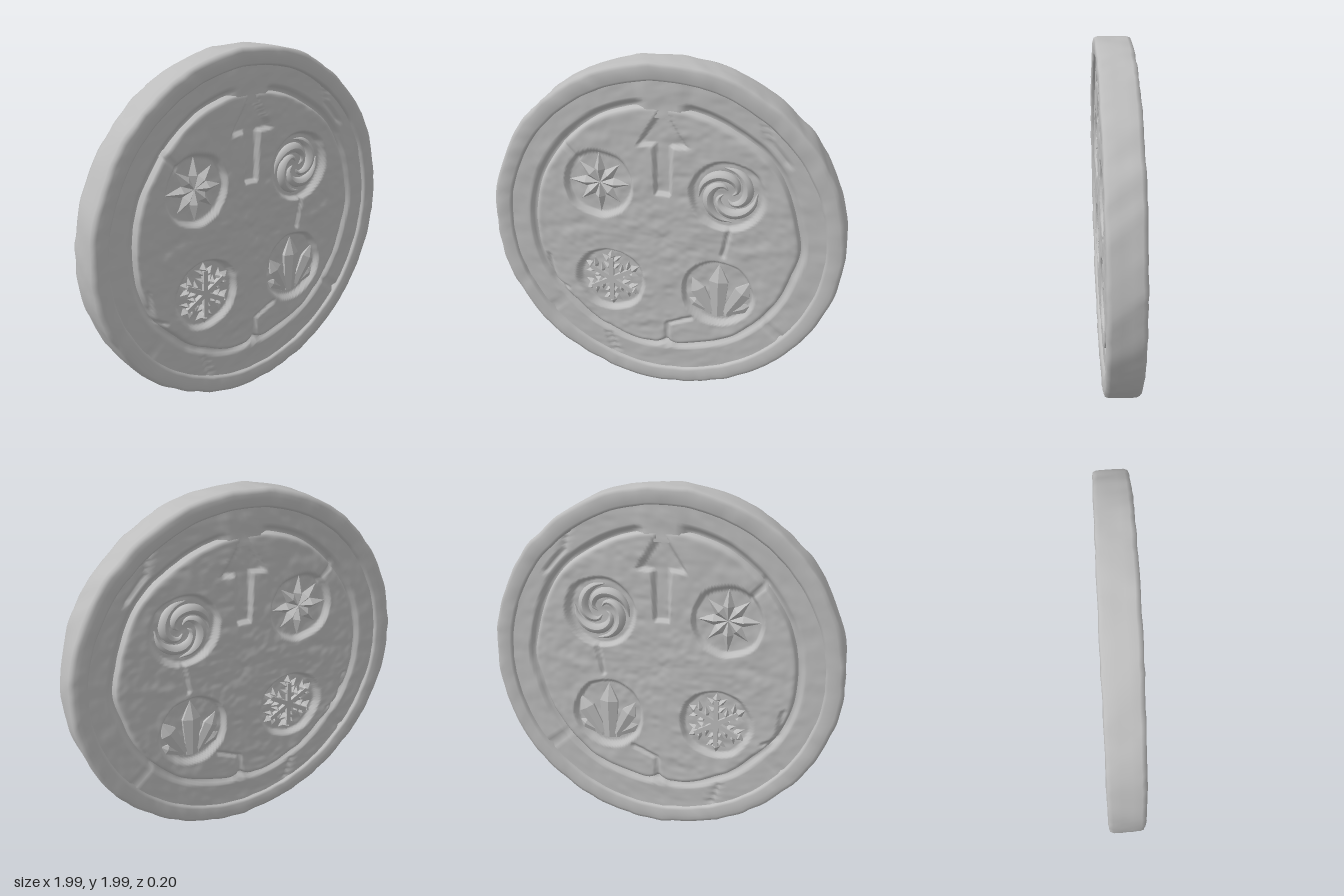
import * as THREE from 'three';
import { mergeGeometries, mergeVertices } from 'three/addons/utils/BufferGeometryUtils.js';

const { smoothstep, lerp } = THREE.MathUtils;
const V2 = (x, y) => new THREE.Vector2(x, y);

// Smooth value noise in 0..1
const hash = (i, j) => { const s = Math.sin(i * 127.1 + j * 311.7) * 43758.5453; return s - Math.floor(s); };
function noise(x, y) {
  const i = Math.floor(x), j = Math.floor(y);
  const u = smoothstep(x - i, 0, 1), v = smoothstep(y - j, 0, 1);
  return lerp(lerp(hash(i, j), hash(i + 1, j), u), lerp(hash(i, j + 1), hash(i + 1, j + 1), u), v);
}
const chisel = (x, y) => 0.007 * (noise(x * 9 + y * 4, y * 17 - x * 5) - 0.5) + 0.004 * (noise(x * 26, y * 34) - 0.5);

// Carving layout, measured from the disc centre
const FLOOR = 0.05, PLATE = 0.086, CHANNEL = 0.075;
const medallions = {
  star: [-0.36, 0.29, 0.2], swirl: [0.35, 0.29, 0.205],
  snowflake: [-0.31, -0.32, 0.205], crystals: [0.32, -0.32, 0.21],
};
const arrow = [[0, 0.76], [0.135, 0.545], [0.048, 0.545], [0.042, 0.265], [-0.042, 0.265], [-0.048, 0.545], [-0.135, 0.545]];
const cracks = [
  [[0.53, 0.73], [0.55, 0.63], [0.66, 0.5]], [[0.02, -0.74], [0.03, -0.57], [0.17, -0.51]],
  [[0.37, 0.09], [0.34, -0.07]], [[-0.33, -0.71], [-0.3, -0.82]], [[-0.7, -0.57], [-0.6, -0.48]],
  [[0.58, -0.47], [0.7, -0.58]], [[-0.56, 0.52], [-0.48, 0.43]], [[-0.68, -0.2], [-0.66, -0.37], [-0.58, -0.41]],
];

function segmentDistance(x, y, [ax, ay], [bx, by]) {
  const dx = bx - ax, dy = by - ay;
  const t = Math.min(1, Math.max(0, ((x - ax) * dx + (y - ay) * dy) / (dx * dx + dy * dy)));
  return Math.hypot(x - ax - t * dx, y - ay - t * dy);
}

// Signed distance to the arrow, negative inside
function arrowDistance(x, y) {
  let d = 9, inside = false;
  arrow.forEach((a, i) => {
    const b = arrow[(i + 1) % arrow.length];
    d = Math.min(d, segmentDistance(x, y, a, b));
    if ((a[1] > y) !== (b[1] > y) && x < a[0] + (b[0] - a[0]) * (y - a[1]) / (b[1] - a[1])) inside = !inside;
  });
  return inside ? -d : d;
}

function crackDepth(x, y) {
  let d = 9;
  for (const c of cracks) for (let i = 1; i < c.length; i++) d = Math.min(d, segmentDistance(x, y, c[i - 1], c[i]));
  return 0.016 * (1 - smoothstep(d, 0.002, 0.018));
}

// Uneven outline of the central plate, notched at the bottom
function plateRadius(a) {
  const c = Math.cos(a), s = Math.sin(a);
  const notch = s < 0 ? 0.025 * Math.exp(-((c - 0.03) ** 2) / 0.003) : 0;
  return 0.748 + 0.02 * s + 0.022 * (noise(c * 4 + 9, s * 4 + 9) - 0.5) - notch;
}

function plateHeight(x, y) {
  let z = PLATE;
  for (const [mx, my, r] of Object.values(medallions)) {
    const d = Math.hypot(x - mx, y - my) + 0.012 * (noise(x * 12, y * 12) - 0.5);
    z = Math.min(z, lerp(FLOOR, PLATE, smoothstep(d, r - 0.02, r)));
  }
  z = Math.min(z, PLATE - 0.026 * (1 - smoothstep(arrowDistance(x, y), -0.009, 0.006)));
  return z + chisel(x, y) - crackDepth(x, y);
}

// Moves every vertex by a rule, then rebuilds smooth normals over welded points
function sculpt(geometry, rule) {
  geometry.deleteAttribute('uv');
  geometry.deleteAttribute('normal');
  const p = geometry.attributes.position, v = new THREE.Vector3();
  for (let i = 0; i < p.count; i++) {
    rule(v.fromBufferAttribute(p, i));
    p.setXYZ(i, v.x, v.y, v.z);
  }
  const welded = mergeVertices(geometry, 1e-5);
  welded.computeVertexNormals();
  return welded;
}

function plateGeometry() {
  return sculpt(new THREE.RingGeometry(0, 1, 288, 70), (v) => {
    const t = Math.hypot(v.x, v.y), R = plateRadius(Math.atan2(v.y, v.x));
    v.x *= R;
    v.y *= R;
    v.z = t > 0.995 ? 0.045 : plateHeight(v.x, v.y) - 0.008 * smoothstep(t, 0.965, 0.99);
  });
}

function channelGeometry() {
  return sculpt(new THREE.RingGeometry(0.7, 0.905, 200, 18), (v) => {
    const r = Math.hypot(v.x, v.y), gap = r - plateRadius(Math.atan2(v.y, v.x));
    const groove = 0.025 * (1 - smoothstep(gap, 0.01, 0.035));
    // The groove fades out above the arrow tip
    const bridge = v.y > 0 ? 1 - smoothstep(Math.abs(v.x), 0.09, 0.15) : 0;
    v.z = CHANNEL - groove * (1 - bridge) + 0.008 * bridge + chisel(v.x, v.y) * 0.7 - crackDepth(v.x, v.y);
  });
}

// Chipped outer rim running round both sides
function rimGeometry() {
  const half = [[1, 0.03], [1, 0.075], [0.993, 0.094], [0.975, 0.1], [0.945, 0.1], [0.908, 0.099], [0.896, 0.09], [0.886, 0.06]];
  const profile = [...half.map(([r, z]) => V2(r, -z)).reverse(), ...half.map(([r, z]) => V2(r, z))];
  return sculpt(new THREE.LatheGeometry(profile, 180).rotateX(Math.PI / 2), (v) => {
    const r = Math.hypot(v.x, v.y), s = Math.sign(v.z);
    const c = v.x / r, d = v.y / r;
    const chip = noise(c * 13 + 20, d * 13 + v.z * 12);
    const k = 1 - (r > 0.97 ? 0.013 * chip : 0.006 * (chip - 0.5));
    v.x *= k;
    v.y *= k;
    v.z -= s * 0.007 * noise(c * 20 + r * 9, d * 20 + r * 9);
  });
}

// Faceted leaf from radius a to b, pointing along an angle
const leaf = (a, b, width, height, angle, x = 0, y = 0) => new THREE.OctahedronGeometry(1)
  .scale((b - a) / 2, width / 2, height).translate((a + b) / 2, 0, 0).rotateZ(angle).translate(x, y, 0);

function starParts() {
  return Array.from({ length: 8 }, (_, i) => leaf(-0.02, i % 2 ? 0.16 : 0.18, 0.062, 0.034, i * Math.PI / 4));
}

// Tapered arms curling outwards
function swirlParts() {
  return [0, 1, 2, 3].map((k) => {
    const points = Array.from({ length: 9 }, (_, i) => {
      const t = i / 8, a = k * Math.PI / 2 + t * 3.3, r = 0.025 + 0.135 * Math.pow(t, 0.75);
      return new THREE.Vector3(r * Math.cos(a), r * Math.sin(a), 0);
    });
    const curve = new THREE.CatmullRomCurve3(points), steps = 28, sides = 8;
    const tube = new THREE.TubeGeometry(curve, steps, 0.03, sides);
    const p = tube.attributes.position, v = new THREE.Vector3();
    for (let i = 0; i < p.count; i++) {
      const t = Math.floor(i / (sides + 1)) / steps;
      const c = curve.getPointAt(t);
      v.fromBufferAttribute(p, i).sub(c).multiplyScalar(0.1 + 0.9 * Math.sin(Math.PI * Math.pow(t, 0.9))).add(c);
      p.setXYZ(i, v.x, v.y, v.z);
    }
    tube.computeVertexNormals();
    return tube;
  });
}

function snowflakeParts() {
  const parts = [];
  for (let i = 0; i < 6; i++) {
    const a = Math.PI / 2 + i * Math.PI / 3, c = Math.cos(a), s = Math.sin(a);
    parts.push(new THREE.BoxGeometry(0.14, 0.026, 0.05).translate(0.07, 0, 0).rotateZ(a));
    parts.push(leaf(0.11, 0.185, 0.05, 0.03, a));
    for (const side of [-1, 1]) for (const [r, len] of [[0.06, 0.065], [0.105, 0.075]])
      parts.push(leaf(-0.01, len, 0.032, 0.03, a + side * 0.9, c * r, s * r));
  }
  return parts;
}

function crystalParts() {
  // x, y of the foot, width, length, lean
  return [[0, -0.16, 0.062, 0.34, 0], [-0.04, -0.14, 0.05, 0.24, 0.5], [0.05, -0.14, 0.055, 0.26, -0.52],
    [-0.06, -0.13, 0.034, 0.13, 1.05], [0.07, -0.13, 0.036, 0.13, -1.1], [-0.04, -0.16, 0.03, 0.11, 0.2], [0.05, -0.16, 0.03, 0.1, -0.25],
  ].map(([x, y, w, l, lean]) => {
    const g = new THREE.LatheGeometry([V2(0, 0), V2(w * 0.65, 0), V2(w, l * 0.68), V2(0, l)], 6).toNonIndexed();
    g.computeVertexNormals();
    return g.scale(1, 1, 0.6).rotateZ(lean).translate(x, y, 0);
  });
}

// Copy for the back: reflected in z with the corner order reversed
function mirrored(geometry) {
  const g = geometry.clone().scale(1, 1, -1);
  const order = g.index ? Array.from(g.index.array) : Array.from({ length: g.attributes.position.count }, (_, i) => i);
  for (let i = 0; i < order.length; i += 3) [order[i], order[i + 1]] = [order[i + 1], order[i]];
  g.setIndex(order);
  return g;
}

export function createModel() {
  const stone = new THREE.MeshStandardMaterial({ color: 0xbdbdbd });
  stone.name = 'grey stone';
  const model = new THREE.Group();
  model.name = 'stoneDisc';
  const add = (parent, name, geometry) => {
    const mesh = new THREE.Mesh(geometry, stone);
    mesh.name = name;
    parent.add(mesh);
  };
  add(model, 'rim', rimGeometry());

  const faceParts = { centralPlate: plateGeometry(), channel: channelGeometry() };
  const emblems = { star: starParts(), swirl: swirlParts(), snowflake: snowflakeParts(), crystals: crystalParts() };
  for (const [name, parts] of Object.entries(emblems)) {
    const [x, y] = medallions[name];
    faceParts[name] = mergeGeometries(parts.map((g) => (g.index ? g.toNonIndexed() : g))).translate(x, y, FLOOR);
  }
  for (const side of ['front', 'back']) {
    const face = new THREE.Group();
    face.name = side + 'Face';
    for (const [name, g] of Object.entries(faceParts)) add(face, name, side === 'front' ? g : mirrored(g));
    model.add(face);
  }
  model.position.y = 1;
  return model;
}
